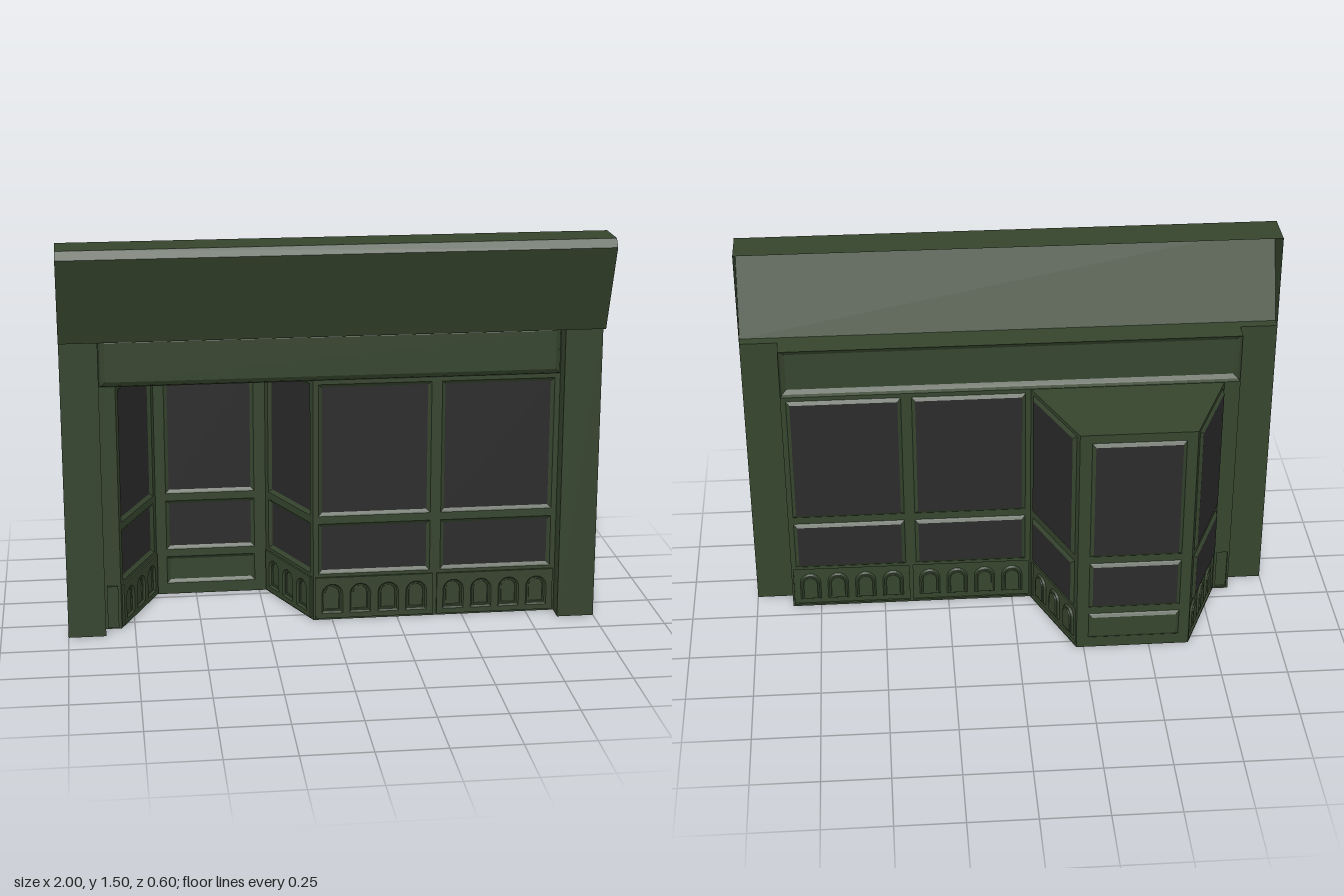
import * as THREE from 'three';

const green = new THREE.MeshStandardMaterial({ color: 0x36452e, side: THREE.DoubleSide });
const glass = new THREE.MeshStandardMaterial({ color: 0x2b2b2b, side: THREE.DoubleSide });

function addMesh(group, name, geometry, material = green) {
  const mesh = new THREE.Mesh(geometry, material);
  mesh.name = name;
  group.add(mesh);
  return mesh;
}

// Outlines as functions of an inset, counter-clockwise
const rect = (x0, x1, y0, y1) => (i) => [
  [x0 + i, y0 + i], [x1 - i, y0 + i], [x1 - i, y1 - i], [x0 + i, y1 - i],
];
const arch = (cx, w, y0, y1) => (i) => {
  const r = w / 2 - i, spring = y1 - w / 2;
  const points = [[cx - r, y0 + i], [cx + r, y0 + i]];
  for (let k = 0; k <= 10; k++) {
    const a = (Math.PI * k) / 10;
    points.push([cx + r * Math.cos(a), spring + r * Math.sin(a)]);
  }
  return points;
};

// Flat-shaded quads between two rows of points
function strip(rowA, rowB, closed) {
  const pos = [];
  const n = rowA.length;
  for (let j = 0; j < (closed ? n : n - 1); j++) {
    const k = (j + 1) % n;
    pos.push(...rowA[j], ...rowA[k], ...rowB[k], ...rowA[j], ...rowB[k], ...rowB[j]);
  }
  const geometry = new THREE.BufferGeometry();
  geometry.setAttribute('position', new THREE.Float32BufferAttribute(pos, 3));
  geometry.computeVertexNormals();
  return geometry;
}

// A sunk or raised panel: moulded rim, flat face, and further panels cut into the face
function addPanel(group, { name, outline, steps = [[0, 0]], children = [], material = green }, z = 0) {
  const ring = ([inset, depth]) => outline(inset).map(([x, y]) => [x, y, z + depth]);
  for (let s = 1; s < steps.length; s++) {
    addMesh(group, name + 'Rim', strip(ring(steps[s - 1]), ring(steps[s]), true));
  }
  const [inset, depth] = steps[steps.length - 1];
  const toPoints = (list) => list.map(([x, y]) => new THREE.Vector2(x, y));
  const face = new THREE.Shape(toPoints(outline(inset)));
  children.forEach((c) => face.holes.push(new THREE.Path(toPoints(c.outline(0)))));
  addMesh(group, name, new THREE.ShapeGeometry(face).translate(0, 0, z + depth), material);
  children.forEach((c) => addPanel(group, c, z + depth));
}

const sunk = [[0, 0], [0.004, -0.004], [0.013, -0.01]];
const pane = (x0, x1, y0, y1) => ({
  name: 'windowPane', outline: rect(x0, x1, y0, y1), steps: sunk, material: glass,
});

// Raised base panel with a row of sunk arches
function riser(x0, x1, count) {
  const children = [];
  const pitch = (x1 - x0 - 0.02) / count;
  for (let k = 0; k < count; k++) {
    children.push({
      name: 'archPanel',
      outline: arch(x0 + 0.01 + pitch * (k + 0.5), 0.08, 0.028, 0.145),
      steps: [[0, 0], [0.006, -0.008], [0.012, -0.008], [0.014, -0.012]],
    });
  }
  return {
    name: 'riser', outline: rect(x0, x1, 0.008, 0.172),
    steps: [[0, 0], [0, 0.008], [0.008, 0.008]], children,
  };
}

// A glazed bay: tall pane, short pane and arched base
const bay = (x0, x1, arches) => [
  pane(x0 + 0.012, x1 - 0.012, 0.415, 0.93),
  pane(x0 + 0.012, x1 - 0.012, 0.185, 0.385),
  riser(x0, x1, arches),
];

// Upright wall between two plan points, listed left to right as seen from the front
function addWall(parent, name, [ax, az], [bx, bz], children, y0 = 0, y1 = 0.945) {
  const group = new THREE.Group();
  group.name = name;
  group.position.set(ax, 0, az);
  group.rotation.y = Math.atan2(az - bz, bx - ax);
  const w = Math.hypot(bx - ax, bz - az);
  addPanel(group, { name: name + 'Frame', outline: rect(0, w, y0, y1), children });
  parent.add(group);
}

export function createModel() {
  const model = new THREE.Group();
  model.name = 'shopfront';

  // Glazed front and recessed entrance
  const plan = [[-0.86, 0.058], [-0.8, 0.058], [-0.652, -0.288], [-0.222, -0.288], [-0.072, 0.058], [0.86, 0.058]];
  const slant = (k) => Math.hypot(plan[k + 1][0] - plan[k][0], plan[k + 1][1] - plan[k][1]);
  addWall(model, 'endPost', plan[0], plan[1], [riser(0.008, 0.05, 0)]);
  addWall(model, 'rightEntranceWindow', plan[1], plan[2], bay(0.012, slant(1) - 0.012, 3));
  addWall(model, 'door', plan[2], plan[3], [
    pane(0.04, 0.385, 0.415, 0.91),
    pane(0.04, 0.385, 0.185, 0.385),
    { name: 'doorKickPanel', outline: rect(0.04, 0.385, 0.045, 0.155), steps: sunk },
  ]);
  addWall(model, 'leftEntranceWindow', plan[3], plan[4], bay(0.012, slant(3) - 0.012, 3));
  addWall(model, 'displayWindows', plan[4], plan[5], [...bay(0.008, 0.458, 4), ...bay(0.474, 0.924, 4)]);

  // Ceiling over the entrance
  const ceiling = new THREE.Shape(plan.slice(1, 5).map(([x, z]) => new THREE.Vector2(x, -z)));
  addMesh(model, 'entranceCeiling', new THREE.ShapeGeometry(ceiling).rotateX(-Math.PI / 2)).position.y = 0.945;

  // Sign board pushed forward, with a sloping border
  addWall(model, 'signBoard', plan[0], plan[5], [{
    name: 'signPanel', outline: rect(0.002, 1.718, 0.947, 1.138),
    steps: [[0, 0], [0.006, 0.012], [0.022, 0.022]],
  }], 0.945, 1.14);

  // Pilasters with a return on their inner side
  for (const s of [-1, 1]) {
    const row = (y) => [[s, y, 0.13], [s * 0.86, y, 0.13], [s * 0.86, y, 0.058]];
    const [low, high] = [row(0), row(1.14)];
    addMesh(model, s > 0 ? 'leftPilaster' : 'rightPilaster',
      s < 0 ? strip(low, high) : strip(low.reverse(), high.reverse()));
  }

  // Open-backed sloping cornice with end caps, and the soffit behind it
  const profile = [[0.13, 1.14], [0.17, 1.14], [0.3, 1.47], [0.278, 1.5], [0.13, 1.5]];
  const row = (x) => profile.map(([z, y]) => [x, y, z]);
  addMesh(model, 'cornice', strip(row(1), row(-1)));
  const end = new THREE.Shape(profile.map(([z, y]) => new THREE.Vector2(z, y)));
  for (const x of [-1, 1]) {
    const cap = addMesh(model, 'corniceEnd', new THREE.ShapeGeometry(end));
    cap.rotation.y = -Math.PI / 2;
    cap.position.x = x;
  }
  const soffit = addMesh(model, 'soffit', new THREE.PlaneGeometry(1.72, 0.072));
  soffit.rotation.x = Math.PI / 2;
  soffit.position.set(0, 1.14, 0.094);

  return model;
}
